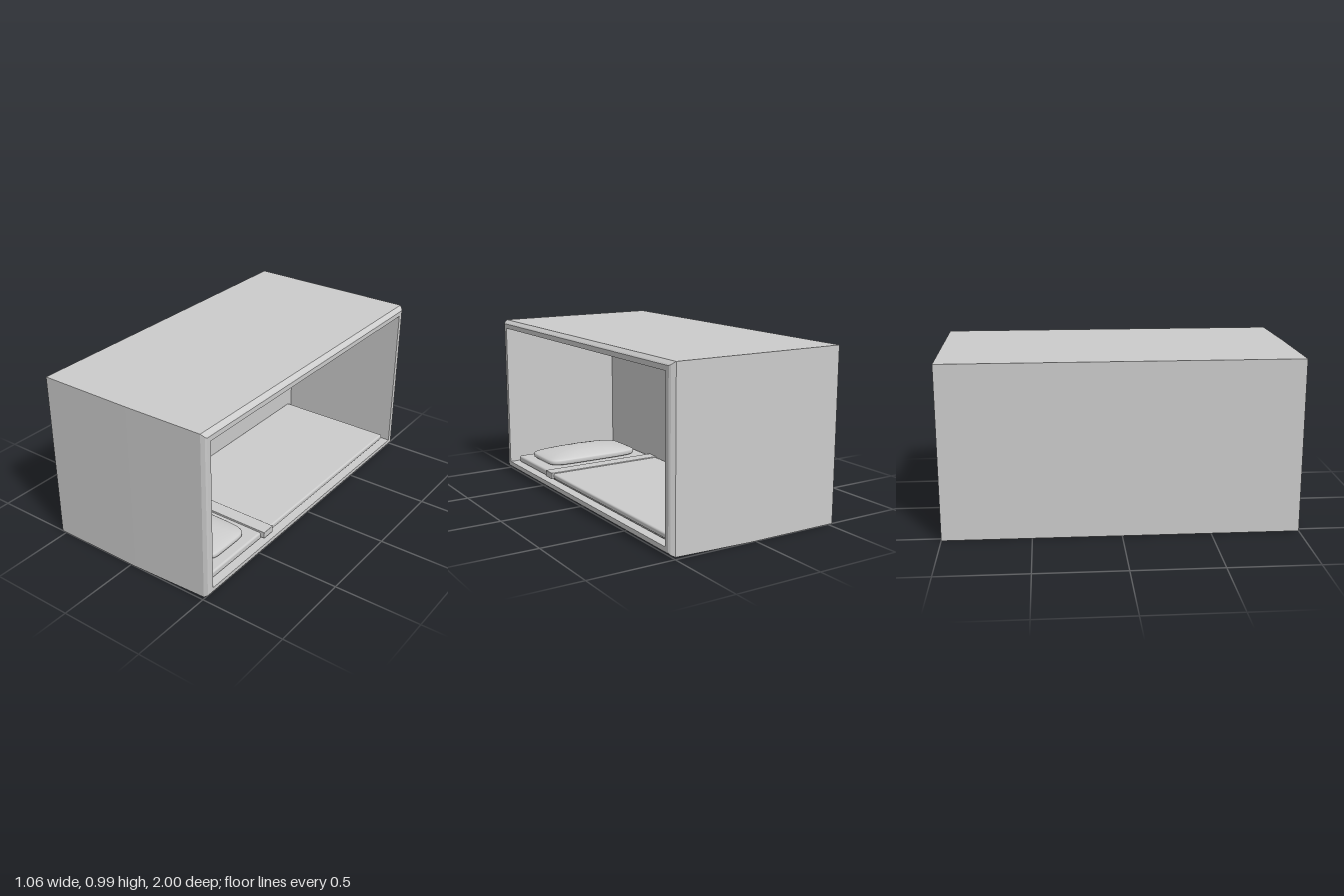
import * as THREE from 'three';
import { RoundedBoxGeometry } from 'three/addons/geometries/RoundedBoxGeometry.js';

const grey = new THREE.MeshStandardMaterial({ color: 0xcccccc });

function addMesh(group, name, geometry) {
  const mesh = new THREE.Mesh(geometry, grey);
  mesh.name = name;
  group.add(mesh);
}

// Rounded slab given by its limits on each axis
function slab([x0, x1], [y0, y1], [z0, z1], radius) {
  const g = new RoundedBoxGeometry(x1 - x0, y1 - y0, z1 - z0, 3, radius);
  return g.translate((x0 + x1) / 2, (y0 + y1) / 2, (z0 + z1) / 2);
}

// Closed loft through rectangular sections [x, y0, y1, z0, z1], hard edged
function rectLoft(sections) {
  const rings = sections.map(([x, y0, y1, z0, z1]) =>
    [[x, y0, z1], [x, y0, z0], [x, y1, z0], [x, y1, z1]]);
  const pos = [];
  const quad = (a, b, c, d) => pos.push(...a, ...b, ...c, ...a, ...c, ...d);
  for (let i = 0; i < rings.length - 1; i++) {
    const a = rings[i], b = rings[i + 1];
    for (let k = 0; k < 4; k++) {
      const n = (k + 1) % 4;
      quad(a[k], a[n], b[n], b[k]);
    }
  }
  const first = rings[0], last = rings[rings.length - 1];
  quad(first[3], first[2], first[1], first[0]);
  quad(...last);
  const g = new THREE.BufferGeometry();
  g.setAttribute('position', new THREE.Float32BufferAttribute(pos, 3));
  g.computeVertexNormals();
  return g;
}

// Rounded cushion whose upper face bulges towards its middle
function cushion(w, h, d, bulge) {
  const g = new THREE.SphereGeometry(1, 48, 24);
  const p = g.attributes.position;
  const square = (v, e) => Math.sign(v) * Math.abs(v) ** e;
  for (let i = 0; i < p.count; i++) {
    const y = p.getY(i);
    const r = Math.hypot(p.getX(i), p.getZ(i)) || 1;
    const side = square(Math.min(r, 1), 0.5);
    const u = side * square(p.getX(i) / r, 0.3);
    const v = side * square(p.getZ(i) / r, 0.3);
    const lift = y > 0 ? bulge * Math.max(0, 1 - u * u) * Math.max(0, 1 - v * v) : 0;
    p.setXYZ(i, u * w / 2, square(y, 0.5) * h / 2 + lift, v * d / 2);
  }
  g.computeVertexNormals();
  return g;
}

export function createModel() {
  const model = new THREE.Group();
  model.name = 'sleepingPod';

  // Outer walls, bevelled rim, flat front frame, then the hollow cabin
  addMesh(model, 'shell', rectLoft([
    [-0.53, 0, 0.99, -1, 1],
    [0.03, 0, 0.99, -1, 1],
    [0.5, 0.012, 0.99, -1, 0.992],
    [0.52, 0.024, 0.975, -0.985, 0.982],
    [0.526, 0.034, 0.968, -0.975, 0.973],
    [0.526, 0.056, 0.94, -0.945, 0.945],
    [-0.25, 0.056, 0.94, -0.945, 0.945],
  ]));

  // Bedding
  addMesh(model, 'mattress', slab([-0.25, 0.48], [0.058, 0.1], [-0.9, 0.905], 0.012));
  addMesh(model, 'blanket', slab([-0.25, 0.492], [0.073, 0.105], [-0.907, 0.4], 0.01));
  addMesh(model, 'blanketFold', slab([-0.25, 0.505], [0.072, 0.111], [0.37, 0.455], 0.003));

  // Pillow
  const pillow = cushion(0.62, 0.05, 0.33, 0.03);
  addMesh(model, 'pillow', pillow.translate(0.12, 0.122, 0.677));

  return model;
}
